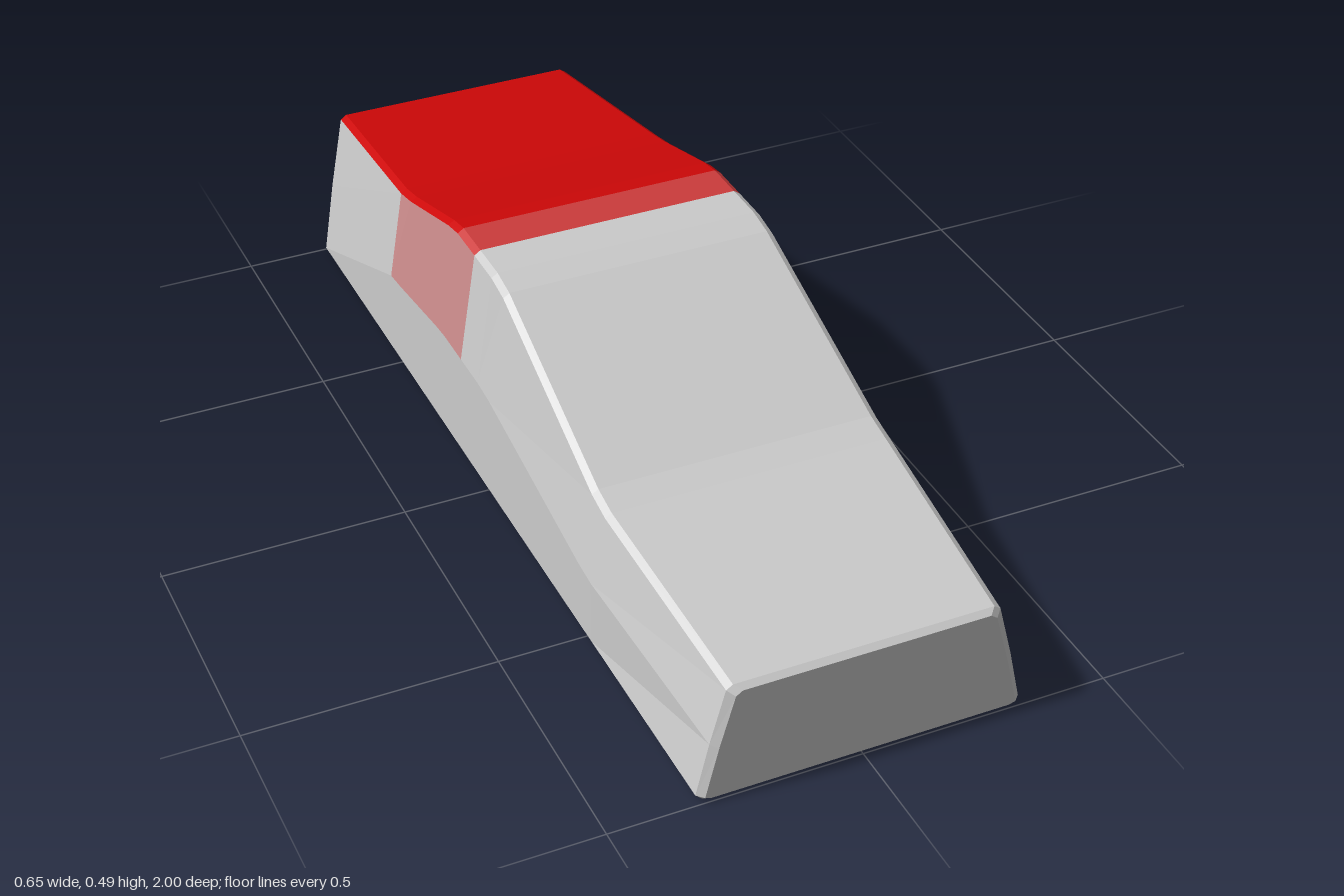
import * as THREE from 'three';

// Stations from nose to tail: z, roof height, half width at roof, half width at waist
const STATIONS = [
  [1, 0.235, 0.257, 0.287],
  [0.987, 0.243, 0.27, 0.3],
  [0.53, 0.3, 0.295, 0.325],
  [0.47, 0.313, 0.295, 0.325],
  [0.03, 0.478, 0.288, 0.325],
  [-0.03, 0.489, 0.288, 0.325],
  [-0.12, 0.489, 0.288, 0.325],
  [-0.21, 0.489, 0.288, 0.325],
  [-0.26, 0.48, 0.289, 0.325],
  [-0.47, 0.42, 0.293, 0.325],
  [-0.53, 0.407, 0.293, 0.325],
  [-0.987, 0.342, 0.27, 0.3],
  [-1, 0.334, 0.257, 0.287],
];
const LAST = STATIONS.length - 1;
const SILL = 0.325, BEVEL = 0.013;

// Closed section: +x sill, waist and roof edge, then the same mirrored
const rings = STATIONS.map(([z, y, top, waist], i) => {
  const end = i === 0 || i === LAST;
  const sill = end ? SILL - BEVEL : SILL;
  const half = [
    [sill - BEVEL, end ? 0.008 : 0],
    [sill, 0.012],
    [waist, y / 2],
    [top, y - 0.009],
    [top - BEVEL, y],
  ];
  const mirrored = half.map(([x, h]) => [-x, h]).reverse();
  return [...half, ...mirrored].map(([x, h]) => new THREE.Vector3(x, h, z));
});

function addMesh(group, name, color, points) {
  const geometry = new THREE.BufferGeometry().setFromPoints(points);
  geometry.computeVertexNormals();
  const material = new THREE.MeshStandardMaterial({ color, flatShading: true });
  const mesh = new THREE.Mesh(geometry, material);
  mesh.name = name;
  group.add(mesh);
}

// Skin between stations i0..i1 over section strips j0..j1 (inclusive)
function addPanel(group, name, color, i0, i1, j0, j1) {
  const points = [];
  for (let i = i0; i < i1; i++) {
    for (let j = j0; j <= j1; j++) {
      const k = (j + 1) % 10;
      const a = rings[i][j], b = rings[i][k], c = rings[i + 1][k], d = rings[i + 1][j];
      points.push(a, d, c, a, c, b);
    }
  }
  addMesh(group, name, color, points);
}

// Flat end face, filled in rows from side to side
function addEnd(group, name, color, ring, front) {
  const points = [];
  for (let j = 0; j < 4; j++) {
    const a = ring[j], b = ring[j + 1], c = ring[8 - j], d = ring[9 - j];
    points.push(...(front ? [a, b, c, a, c, d] : [a, c, b, a, d, c]));
  }
  addMesh(group, name, color, points);
}

export function createModel() {
  const model = new THREE.Group();
  model.name = 'carBody';
  const grey = 0xcccccc, red = 0xcc0808, midRed = 0xcc3c3c, paleRed = 0xcc8c8c;

  // Underside with its bevelled rim
  addPanel(model, 'floor', grey, 0, LAST, 9, 9);
  addPanel(model, 'rightFloorBevel', grey, 0, LAST, 0, 0);
  addPanel(model, 'leftFloorBevel', grey, 0, LAST, 8, 8);

  // Grey front half
  addEnd(model, 'frontFace', grey, rings[0], true);
  addPanel(model, 'bonnet', grey, 0, 2, 1, 7);
  addPanel(model, 'windscreen', grey, 2, 5, 1, 7);
  addPanel(model, 'frontRoof', grey, 5, 6, 1, 7);

  // Painted rear top
  addPanel(model, 'roofFade', midRed, 6, 7, 3, 5);
  addPanel(model, 'rearRoof', red, 7, 10, 3, 5);
  addPanel(model, 'rearDeck', red, 10, LAST, 3, 5);

  // Rear side on +x fades towards the sill, the other side is mostly bare
  addPanel(model, 'rearUpperSide', midRed, 6, LAST, 2, 2);
  addPanel(model, 'rearLowerSide', paleRed, 6, LAST, 1, 1);
  addPanel(model, 'oppositeUpperSide', paleRed, 6, 10, 6, 6);
  addPanel(model, 'oppositeUpperTail', grey, 10, LAST, 6, 6);
  addPanel(model, 'oppositeLowerSide', grey, 6, LAST, 7, 7);
  addEnd(model, 'rearFace', paleRed, rings[LAST], false);

  return model;
}
